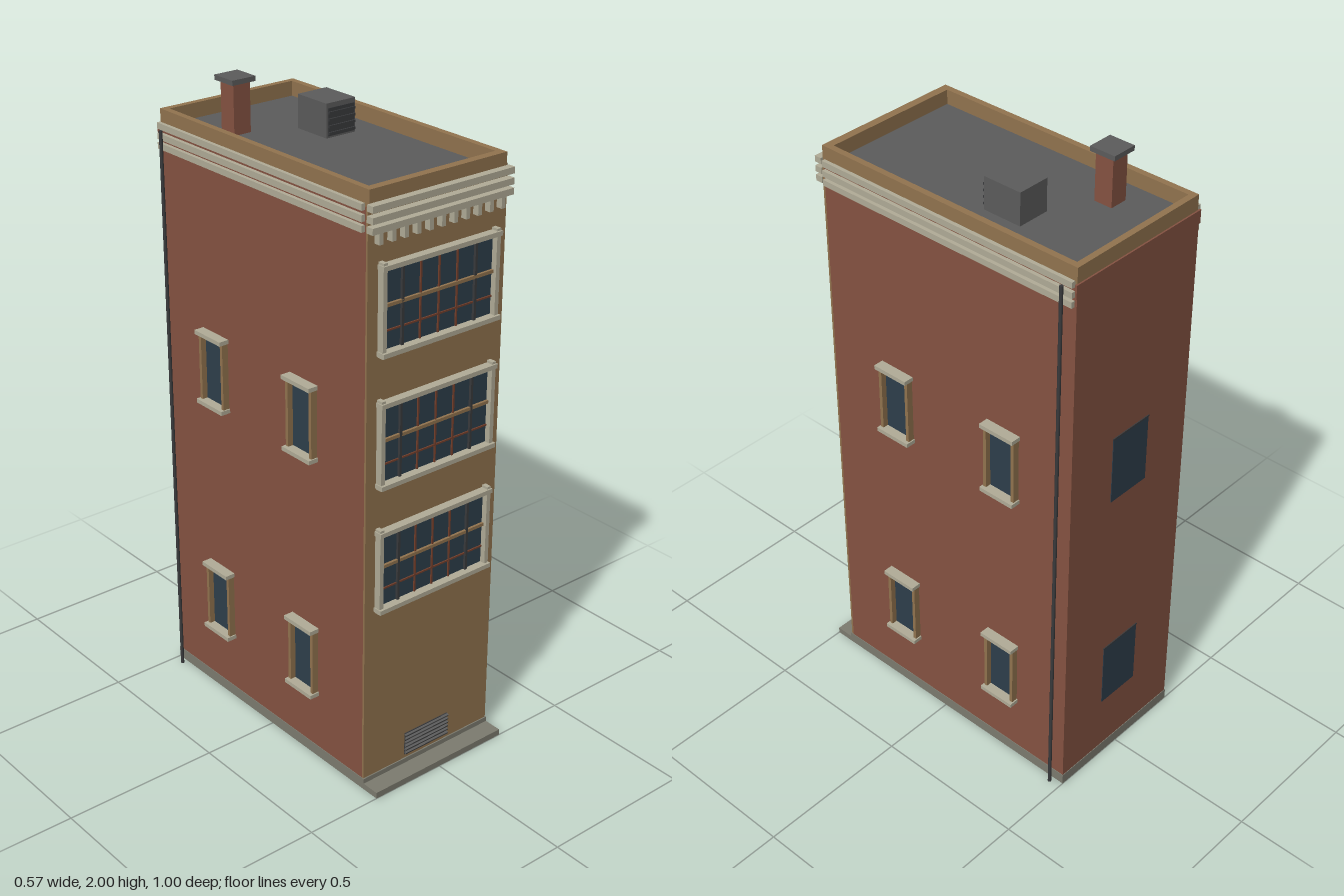
import * as THREE from 'three';

const mat = (name, color, side = THREE.FrontSide) => {
  const m = new THREE.MeshStandardMaterial({ color, side });
  m.name = name;
  return m;
};

export function createModel() {
  const brick = mat('brick', 0x865342);
  const tan = mat('tan stone', 0x92744f);
  const pale = mat('pale trim', 0xb2ad98);
  const plinthGrey = mat('plinth grey', 0x7d7c70);
  const roofGrey = mat('roof grey', 0x5c5c5c);
  const glass = mat('window glass', 0x2e3f4c);
  const metal = mat('dark metal', 0x3a3b3d);
  const rust = mat('rust bars', 0x74402c);

  const model = new THREE.Group();
  model.name = 'townBuilding';

  // Box given by its limits on each axis
  const box = (name, m, x0, x1, y0, y1, z0, z1, parent = model) => {
    const mesh = new THREE.Mesh(new THREE.BoxGeometry(x1 - x0, y1 - y0, z1 - z0), m);
    mesh.position.set((x0 + x1) / 2, (y0 + y1) / 2, (z0 + z1) / 2);
    mesh.name = name;
    parent.add(mesh);
    return mesh;
  };
  const group = (name) => {
    const g = new THREE.Group();
    g.name = name;
    model.add(g);
    return g;
  };

  // Base, walls and front facing
  box('plinth', plinthGrey, -0.252, 0.252, 0, 0.036, -0.5, 0.441);
  box('frontStep', plinthGrey, -0.252, 0.252, 0, 0.02, 0.441, 0.5);
  box('brickWalls', brick, -0.25, 0.25, 0.036, 1.83, -0.498, 0.43);
  box('frontFacing', tan, -0.25, 0.25, 0.036, 1.83, 0.43, 0.437);
  box('backWallTop', brick, -0.254, 0.254, 1.79, 1.832, -0.5, -0.494);

  // Parapet ring with a sunken roof deck
  const ring = new THREE.Shape([[-0.246, -0.437], [0.246, -0.437], [0.246, 0.495], [-0.246, 0.495]]
    .map(([x, y]) => new THREE.Vector2(x, y)));
  ring.holes.push(new THREE.Path([[-0.226, -0.411], [-0.226, 0.475], [0.226, 0.475], [0.226, -0.411]]
    .map(([x, y]) => new THREE.Vector2(x, y))));
  const parapetGeo = new THREE.ExtrudeGeometry(ring, { depth: 0.05, bevelEnabled: false });
  parapetGeo.rotateX(-Math.PI / 2);
  const parapet = new THREE.Mesh(parapetGeo, tan);
  parapet.position.y = 1.83;
  parapet.name = 'parapet';
  model.add(parapet);
  box('roofDeck', roofGrey, -0.226, 0.226, 1.825, 1.834, -0.475, 0.411);

  // Cornice bands on the front and both sides
  const cornice = group('cornice');
  for (const y of [1.763, 1.792, 1.823]) {
    box('frontBand', pale, -0.254, 0.254, y, y + 0.019, 0.437, 0.461, cornice);
    for (const s of [-1, 1]) {
      const a = s * 0.25, b = s * 0.262;
      box('sideBand', pale, Math.min(a, b), Math.max(a, b), y, y + 0.019, -0.491, 0.425, cornice);
    }
  }
  for (let i = 0; i < 11; i++) {
    const x = -0.22 + i * 0.044;
    box('dentil', pale, x - 0.007, x + 0.007, 1.729, 1.763, 0.437, 0.457, cornice);
  }

  // Wide front windows
  for (const y of [0.605, 1.005, 1.405]) {
    const w = group('frontWindow');
    box('glass', glass, -0.202, 0.202, y + 0.012, y + 0.255, 0.437, 0.441, w);
    box('sill', pale, -0.216, 0.216, y, y + 0.014, 0.437, 0.467, w);
    box('head', pale, -0.216, 0.216, y + 0.249, y + 0.263, 0.437, 0.464, w);
    for (const s of [-1, 1]) {
      box('jamb', pale, s * 0.206 - 0.007, s * 0.206 + 0.007, y - 0.004, y + 0.27, 0.437, 0.459, w);
      box('mullion', metal, s * 0.133 - 0.004, s * 0.133 + 0.004, y + 0.014, y + 0.249, 0.441, 0.449, w);
    }
    box('transom', tan, -0.2, 0.2, y + 0.138, y + 0.148, 0.441, 0.449, w);
    box('crossBar', rust, -0.2, 0.2, y + 0.066, y + 0.071, 0.441, 0.445, w);
    for (let i = -2; i <= 2; i++) {
      const x = i * 0.0665;
      box('glazingBar', rust, x - 0.0025, x + 0.0025, y + 0.014, y + 0.249, 0.441, 0.4455, w);
    }
  }

  // Narrow side windows
  for (const s of [-1, 1]) for (const z of [0.167, -0.247]) for (const y of [0.222, 1.015]) {
    const w = group('sideWindow');
    const part = (name, m, depth, y0, y1, z0, z1) => {
      const a = s * 0.249, b = s * depth;
      box(name, m, Math.min(a, b), Math.max(a, b), y0, y1, z + z0, z + z1, w);
    };
    part('glass', glass, 0.253, y + 0.01, y + 0.228, -0.05, 0.05);
    part('jamb', tan, 0.271, y + 0.012, y + 0.225, -0.058, -0.047);
    part('jamb', tan, 0.271, y + 0.012, y + 0.225, 0.047, 0.058);
    part('sill', pale, 0.283, y, y + 0.013, -0.062, 0.062);
    part('lintel', pale, 0.283, y + 0.225, y + 0.238, -0.062, 0.062);
  }

  // Plain back windows
  for (const y of [0.225, 1.02]) {
    box('backWindow', glass, -0.076, 0.076, y, y + 0.224, -0.5, -0.497);
    box('backWindowHead', metal, -0.078, 0.078, y + 0.221, y + 0.226, -0.501, -0.497);
  }

  // Downpipes near the back corners
  for (const s of [-1, 1]) {
    const pipe = new THREE.Mesh(new THREE.CylinderGeometry(0.0055, 0.0055, 1.825, 8), metal);
    pipe.position.set(s * 0.27, 0.9125, -0.462);
    pipe.name = 'downpipe';
    model.add(pipe);
  }

  // Louvred vent at the foot of the front
  const vent = group('frontVent');
  box('ventBack', metal, -0.088, 0.084, 0.05, 0.125, 0.437, 0.44, vent);
  for (let i = 0; i < 6; i++) {
    const slat = box('slat', roofGrey, -0.088, 0.084, 0.053 + i * 0.0128, 0.059 + i * 0.0128, 0.438, 0.446, vent);
    slat.rotation.x = 0.3;
  }

  // Chimney
  box('chimneyStack', brick, -0.153, -0.094, 1.834, 1.985, -0.322, -0.262);
  box('chimneyCap', roofGrey, -0.165, -0.083, 1.985, 2, -0.335, -0.25);

  // Rooftop ventilation unit with a louvred face
  const unit = group('roofUnit');
  box('unitBody', roofGrey, 0.034, 0.14, 1.834, 1.936, -0.205, -0.076, unit);
  box('unitGrille', metal, 0.039, 0.135, 1.84, 1.922, -0.076, -0.073, unit);
  for (let i = 0; i < 4; i++) {
    box('unitSlat', metal, 0.039, 0.135, 1.845 + i * 0.02, 1.852 + i * 0.02, -0.073, -0.068, unit);
  }

  return model;
}
